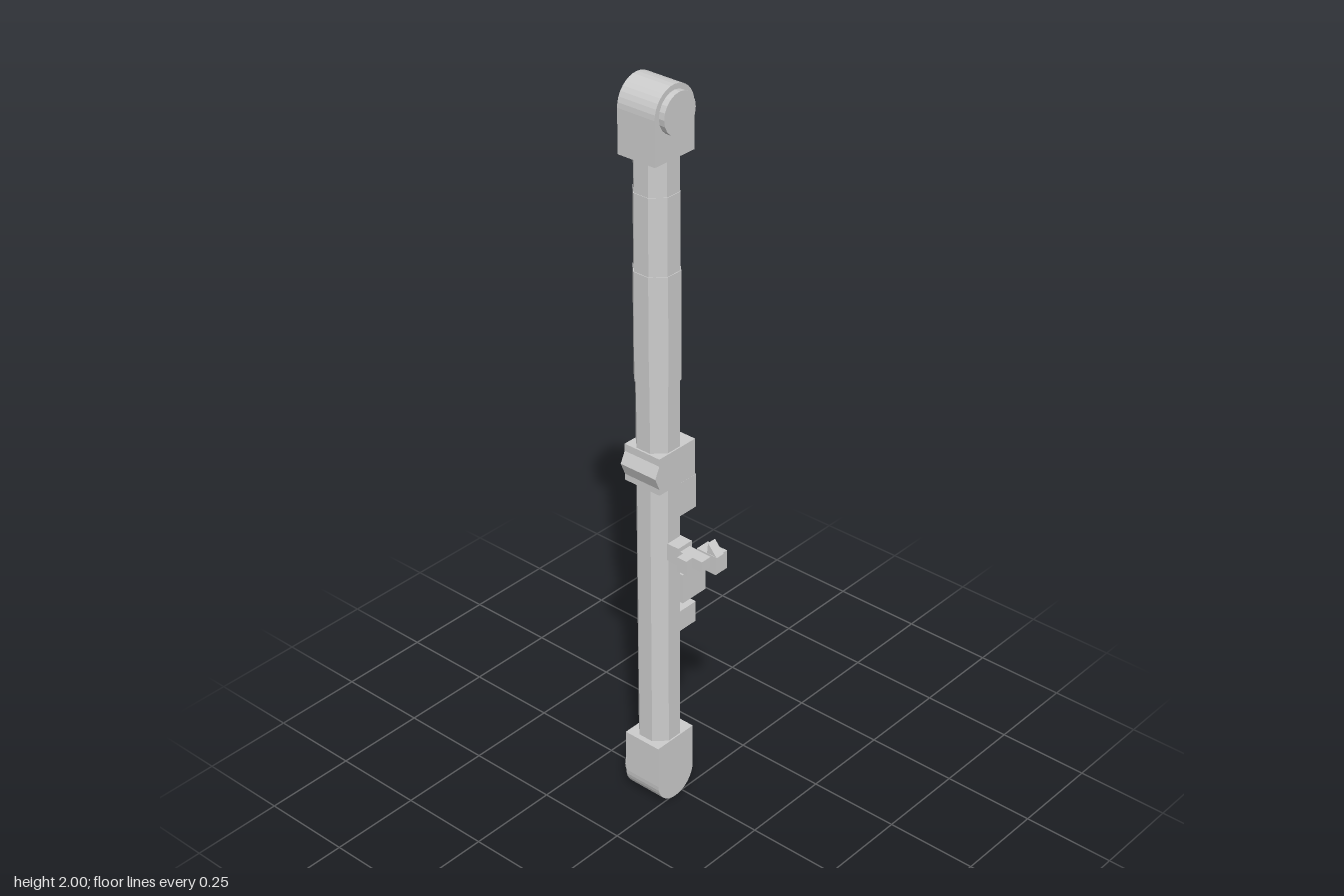
import * as THREE from 'three';

const material = new THREE.MeshStandardMaterial({ color: 0xcccccc, flatShading: true });
const CX = -0.028, CZ = -0.052; // axis of the shaft

export function createModel() {
  const model = new THREE.Group();

  const add = (name, geometry, x = 0, y = 0, z = 0) => {
    const mesh = new THREE.Mesh(geometry, material);
    mesh.name = name;
    mesh.position.set(x, y, z);
    model.add(mesh);
    return mesh;
  };
  // box given by its low and high corners
  const box = (name, x0, x1, y0, y1, z0, z1) =>
    add(name, new THREE.BoxGeometry(x1 - x0, y1 - y0, z1 - z0),
      (x0 + x1) / 2, (y0 + y1) / 2, (z0 + z1) / 2);
  // outline in x and y, extruded from z0 to z1
  const slab = (name, shape, z0, z1, segments = 8) =>
    add(name, new THREE.ExtrudeGeometry(shape,
      { depth: z1 - z0, bevelEnabled: false, curveSegments: segments }), 0, 0, z0);
  // eight-sided shaft section, a flat towards the front
  const rod = (name, flat, y0, y1) => {
    const r = flat / Math.cos(Math.PI / 8);
    const g = new THREE.CylinderGeometry(r, r, y1 - y0, 8).rotateY(Math.PI / 8);
    add(name, g, CX, (y0 + y1) / 2, CZ);
  };

  // shaft and slightly thicker grip
  rod('shaft', 0.052, 0.15, 1.86);
  rod('lowerGrip', 0.0555, 1.24, 1.53);
  rod('upperGrip', 0.0535, 1.53, 1.73);

  // rounded end caps, each with a round plate on one face
  const R = 0.067;
  const topCap = new THREE.Shape();
  topCap.moveTo(CX - R, 1.82);
  topCap.lineTo(CX + R, 1.82);
  topCap.absarc(CX, 2 - R, R, 0, Math.PI, false);
  slab('topCap', topCap, -0.108, 0.004);

  const bottomCap = new THREE.Shape();
  bottomCap.moveTo(CX + R, 0.19);
  bottomCap.lineTo(CX - R, 0.19);
  bottomCap.absarc(CX, R, R, Math.PI, Math.PI * 2, false);
  slab('bottomCap', bottomCap, -0.108, 0.004);

  const plate = (name, y, z) =>
    add(name, new THREE.CylinderGeometry(0.053, 0.053, 0.03, 20).rotateX(Math.PI / 2), CX, y, z);
  plate('topPlate', 1.934, 0.005);
  plate('bottomPlate', 0.068, -0.11);

  // middle collar with a pointed ridge on its right side
  const collar = new THREE.Shape([
    [-0.085, 0.953], [0.045, 0.953], [0.045, 1.055], [-0.085, 1.055],
    [-0.085, 1.035], [-0.1, 1.005], [-0.085, 0.97],
  ].map(([x, y]) => new THREE.Vector2(x, y)));
  slab('collar', collar, -0.108, 0.004);

  // side blocks, two of them with a rear tab
  for (const [name, y0, y1, t0, t1] of [
    ['upperSide', 0.835, 0.93, 0.86, 0.91],
    ['lowerSide', 0.49, 0.55, 0.505, 0.548],
  ]) {
    box(name + 'Block', 0.01, 0.077, y0, y1, -0.085, -0.02);
    box(name + 'Tab', 0.045, 0.098, t0, t1, -0.108, -0.083);
  }
  box('middleSideBlock', 0.01, 0.097, 0.585, 0.67, -0.09, -0.005);

  // small bracket on the front
  box('bracketBase', -0.052, -0.002, 0.748, 0.797, -0.005, 0.035);
  box('bracketArm', -0.045, -0.01, 0.755, 0.785, 0.03, 0.105);
  box('bracketSideLug', -0.068, -0.04, 0.745, 0.785, 0.045, 0.075);
  box('bracketHead', -0.012, 0.03, 0.738, 0.79, 0.06, 0.121);

  // wedge-shaped tip on the bracket head
  const tip = new THREE.Shape([
    new THREE.Vector2(0.092, 0.788), new THREE.Vector2(0.123, 0.788), new THREE.Vector2(0.095, 0.82),
  ]);
  const tipGeometry = new THREE.ExtrudeGeometry(tip, { depth: 0.026, bevelEnabled: false });
  tipGeometry.rotateY(-Math.PI / 2);
  add('bracketTip', tipGeometry, 0.015);

  return model;
}
